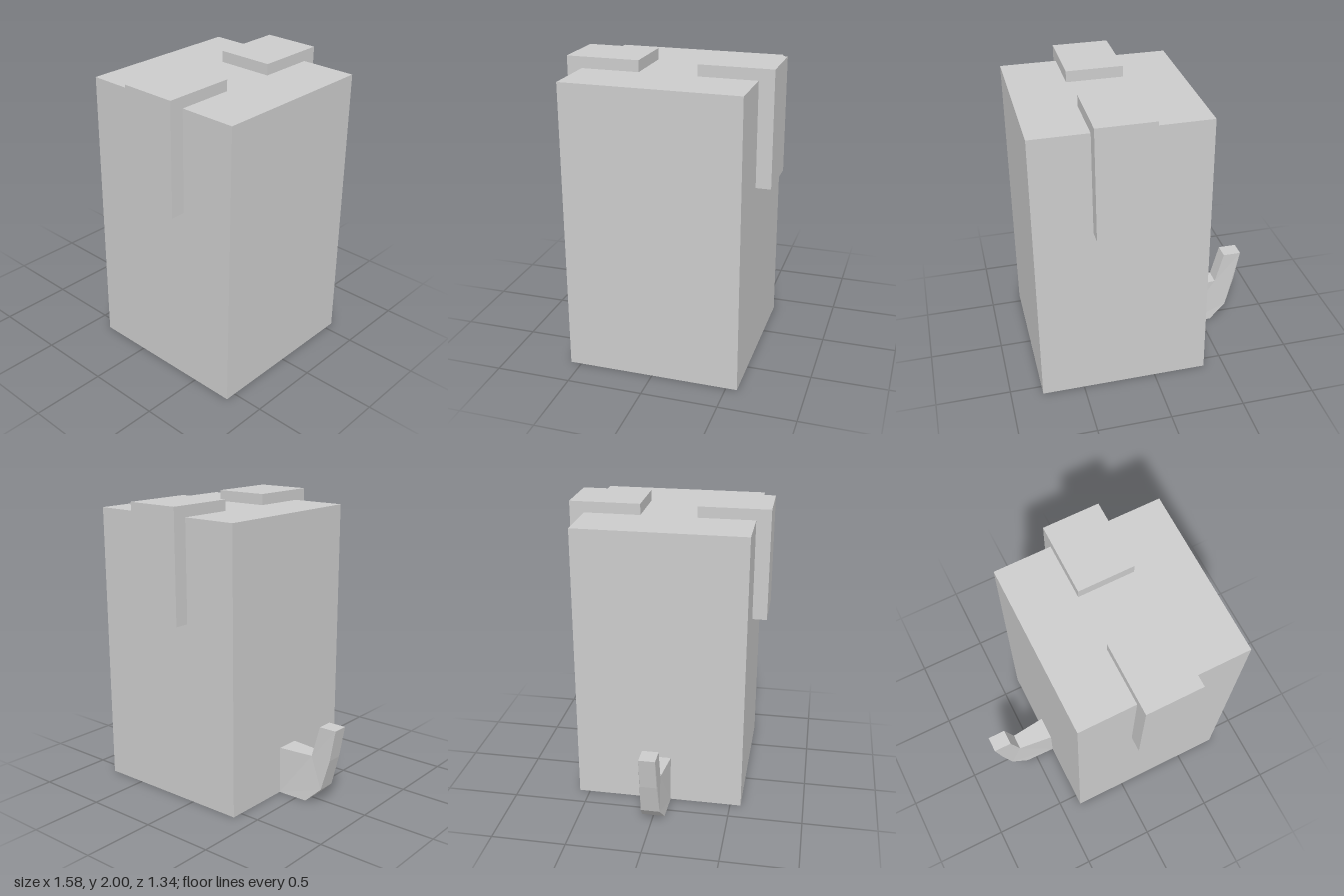
import * as THREE from 'three';

const material = new THREE.MeshStandardMaterial({ color: 0xcccccc, flatShading: true });

// Box given by its lower and upper limits on each axis
function box(name, [x0, x1], [y0, y1], [z0, z1]) {
  const mesh = new THREE.Mesh(new THREE.BoxGeometry(x1 - x0, y1 - y0, z1 - z0), material);
  mesh.position.set((x0 + x1) / 2, (y0 + y1) / 2, (z0 + z1) / 2);
  mesh.name = name;
  return mesh;
}

// Upturned hook: side outline as [x, y, half width], extruded and then tapered
function hook() {
  const outline = [
    [-0.36, 0, 0.082], [-0.36, 0.33, 0.082], [-0.605, 0.33, 0.055], [-0.665, 0.55, 0.055],
    [-0.79, 0.55, 0.055], [-0.75, 0.33, 0.055], [-0.69, 0.11, 0.064], [-0.575, 0, 0.077],
  ];
  const shape = new THREE.Shape(outline.map(([x, y]) => new THREE.Vector2(x, y)));
  const geometry = new THREE.ExtrudeGeometry(shape, { depth: 1, bevelEnabled: false });
  const pos = geometry.attributes.position;
  for (let i = 0; i < pos.count; i++) {
    const corner = outline.find(([x, y]) => Math.hypot(x - pos.getX(i), y - pos.getY(i)) < 0.001);
    pos.setZ(i, (pos.getZ(i) > 0.5 ? 1 : -1) * corner[2]);
  }
  geometry.computeVertexNormals();
  const mesh = new THREE.Mesh(geometry, material);
  mesh.name = 'hook';
  return mesh;
}

export function createModel() {
  const model = new THREE.Group();
  model.name = 'model';

  model.add(box('body', [-0.36, 0.785], [0, 1.925], [-0.573, 0.573]));

  // L-shaped clips folded over the top edge, front and back
  for (const [side, s] of [['front', 1], ['back', -1]]) {
    const shape = new THREE.Shape([
      [0.19, 1.925], [0.573, 1.925], [0.573, 1.24], [0.672, 1.24], [0.672, 2], [0.19, 2],
    ].map(([z, y]) => new THREE.Vector2(z, y)));
    const clip = new THREE.Mesh(
      new THREE.ExtrudeGeometry(shape, { depth: 0.38, bevelEnabled: false }), material);
    clip.rotation.y = -s * Math.PI / 2;
    clip.position.x = s > 0 ? 0.405 : 0.025;
    clip.name = side + 'Clip';
    model.add(clip);
  }

  model.add(hook());
  return model;
}
